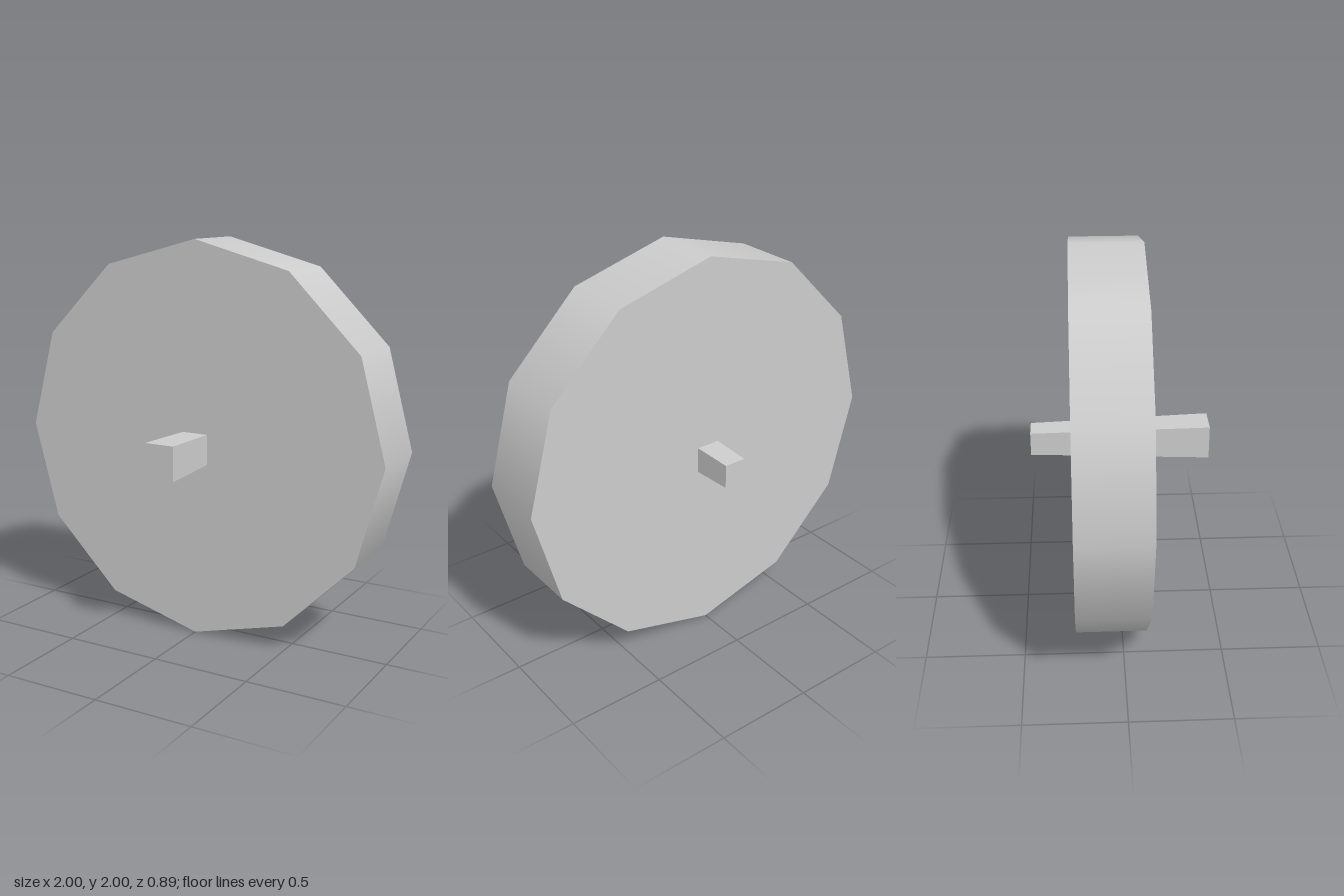
import * as THREE from 'three';

export function createModel() {
  const model = new THREE.Group();
  const material = new THREE.MeshStandardMaterial({ color: 0xcccccc });

  // Twelve-sided solid wheel, smooth-shaded rim, standing on the ground
  const front = 0.115, back = -0.24;
  const wheelGeometry = new THREE.CylinderGeometry(1, 1, front - back, 12);
  wheelGeometry.rotateX(Math.PI / 2);
  const wheel = new THREE.Mesh(wheelGeometry, material);
  wheel.name = 'wheel';
  wheel.position.set(0, 1, (front + back) / 2);
  model.add(wheel);

  // Square axle through the wheel, tapering towards the back
  const axleGeometry = new THREE.BoxGeometry(0.154, 0.172, 0.895);
  const pos = axleGeometry.attributes.position;
  for (let i = 0; i < pos.count; i++) {
    if (pos.getZ(i) < 0) {
      pos.setX(i, pos.getX(i) * 0.74);
      pos.setY(i, pos.getY(i) * 0.7);
    }
  }
  axleGeometry.computeVertexNormals();
  const axle = new THREE.Mesh(axleGeometry, material);
  axle.name = 'axle';
  axle.position.set(0, 0.975, 0);
  model.add(axle);

  return model;
}
